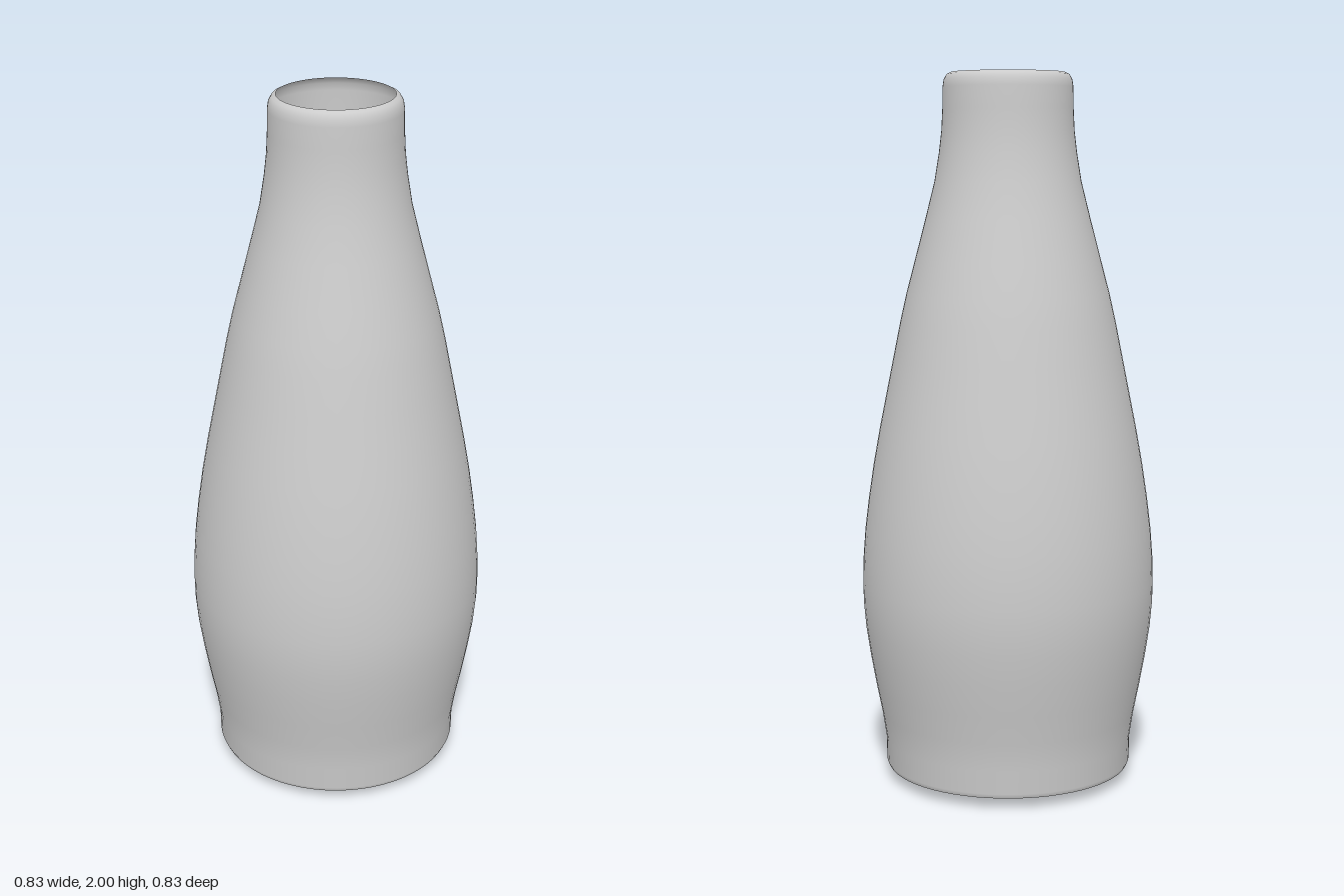
import * as THREE from 'three';

const material = new THREE.MeshStandardMaterial({ color: 0xcccccc, side: THREE.DoubleSide });

// Revolve a list of [radius, height] pairs around the y axis.
function revolve(name, profile) {
  const points = profile.map(([r, y]) => new THREE.Vector2(r, y));
  const mesh = new THREE.Mesh(new THREE.LatheGeometry(points, 64), material);
  mesh.name = name;
  return mesh;
}

export function createModel() {
  const bottle = new THREE.Group();
  bottle.name = 'bottle';

  // Thin wall: foot, belly, tapering shoulder, neck and rounded lip, open at the top
  bottle.add(revolve('bottleWall', [
    [0.345, 0.032], [0.351, 0.045], [0.352, 0.11], [0.364, 0.19], [0.38, 0.27],
    [0.396, 0.36], [0.408, 0.44], [0.414, 0.51], [0.415, 0.57], [0.413, 0.64],
    [0.407, 0.72], [0.396, 0.81], [0.381, 0.91], [0.363, 1.01], [0.343, 1.11],
    [0.323, 1.21], [0.303, 1.31], [0.285, 1.39], [0.26, 1.485], [0.23, 1.6],
    [0.205, 1.7], [0.192, 1.78], [0.185, 1.84], [0.182, 1.9], [0.181, 1.96],
    [0.178, 1.98], [0.17, 1.994], [0.158, 2],
  ]));

  // Shallow, slightly bulging underside
  bottle.add(revolve('base', [[0, 0], [0.16, 0.007], [0.3, 0.017], [0.345, 0.032]]));

  return bottle;
}
